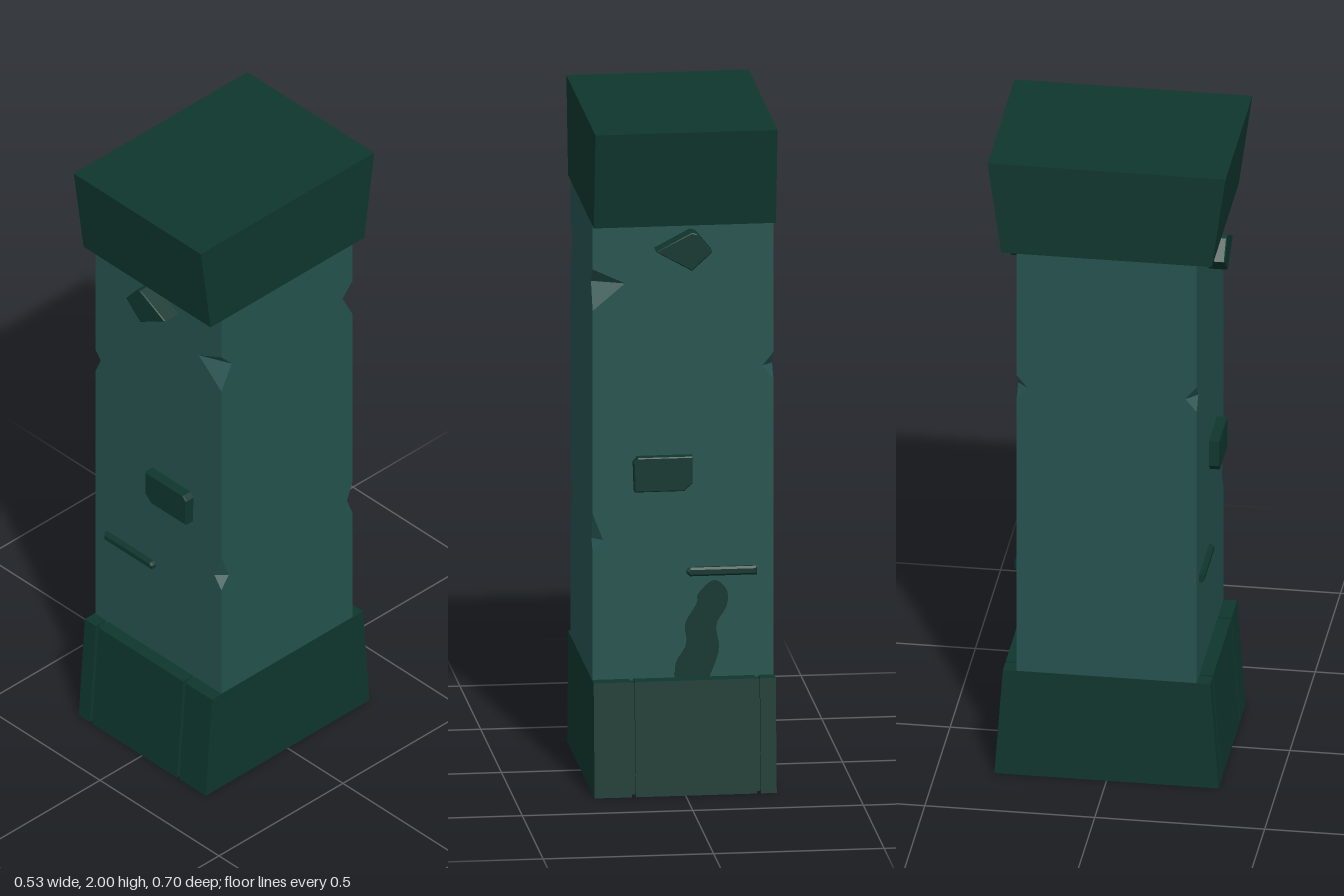
import * as THREE from 'three';

const H = 0.265; // half width of the shaft

export function createModel() {
  const group = new THREE.Group();
  const stone = new THREE.MeshStandardMaterial({ color: 0x25524e, side: THREE.DoubleSide });
  stone.name = 'teal stone';
  const dark = new THREE.MeshStandardMaterial({ color: 0x0f362e });
  dark.name = 'dark green stone';

  const add = (name, geometry, material) => {
    const mesh = new THREE.Mesh(geometry, material);
    mesh.name = name;
    group.add(mesh);
    return mesh;
  };
  const outline = (pts) => new THREE.Shape(pts.map(([x, y]) => new THREE.Vector2(x, y)));

  // Block whose front and back lean: half depth zBottom below, zTop above
  const leaningBlock = (name, x0, x1, y0, y1, zBottom, zTop) => {
    const g = new THREE.BoxGeometry(x1 - x0, y1 - y0, 2);
    g.translate((x0 + x1) / 2, (y0 + y1) / 2, 0);
    const p = g.attributes.position;
    for (let i = 0; i < p.count; i++) {
      p.setZ(i, Math.sign(p.getZ(i)) * (p.getY(i) > (y0 + y1) / 2 ? zTop : zBottom));
    }
    g.computeVertexNormals();
    return add(name, g, dark);
  };

  // Capital and base; the base is split by two narrow grooves
  leaningBlock('capital', -0.267, 0.267, 1.71, 2, 0.31, 0.35);
  leaningBlock('baseCore', -0.26, 0.26, 0.005, 0.335, 0.318, 0.293);
  [[-0.267, -0.221], [-0.209, 0.146], [0.158, 0.267]].forEach(([a, b], i) =>
    leaningBlock('baseBlock' + (i + 1), a, b, 0, 0.34, 0.33, 0.305));

  // Corner notches: side of x, bottom, tip and top heights, depth in x and in z
  const notches = [
    { side: 1, y0: 0.72, y: 0.76, y1: 0.84, dx: 0.03, dz: 0.03 },
    { side: 1, y0: 1.45, y: 1.53, y1: 1.575, dx: 0.095, dz: 0.042 },
    { side: -1, y0: 1.23, y: 1.27, y1: 1.31, dx: 0.033, dz: 0.033 },
  ];
  const edge = (list, sign, depth) => [
    [sign * H, 0.33],
    ...list.flatMap((n) => [[sign * H, n.y0], [sign * (H - n[depth]), n.y], [sign * H, n.y1]]),
    [sign * H, 1.715],
  ];
  const onSide = (s) => notches.filter((n) => n.side === s);

  // Shaft faces, with the notches cut from their outlines
  const broad = outline([...edge(onSide(1), 1, 'dx'), ...edge(onSide(-1), -1, 'dx').reverse()]);
  for (const s of [1, -1]) {
    const face = add(s > 0 ? 'shaftFront' : 'shaftBack', new THREE.ShapeGeometry(broad), stone);
    face.position.z = s * H;
    if (s < 0) face.geometry.scale(-1, 1, 1).rotateY(Math.PI);
    const flank = outline([...edge(onSide(s), 1, 'dz'), ...edge(onSide(s), -1, 'dz').reverse()]);
    const sideFace = add(s > 0 ? 'shaftLeft' : 'shaftRight', new THREE.ShapeGeometry(flank), stone);
    sideFace.geometry.rotateY(s * Math.PI / 2);
    sideFace.position.x = s * H;
  }

  // Sloping surfaces inside each notch
  const cuts = [];
  for (const n of notches) {
    for (const s of [1, -1]) {
      const tip = [n.side * (H - n.dx), n.y, s * H];
      const flank = [n.side * H, n.y, s * (H - n.dz)];
      const top = [n.side * H, n.y1, s * H];
      const bottom = [n.side * H, n.y0, s * H];
      const tris = n.side * s > 0
        ? [tip, flank, top, flank, tip, bottom]
        : [flank, tip, top, tip, flank, bottom];
      cuts.push(...tris.flat());
    }
  }
  const cutGeometry = new THREE.BufferGeometry();
  cutGeometry.setAttribute('position', new THREE.Float32BufferAttribute(cuts, 3));
  cutGeometry.computeVertexNormals();
  add('cornerNotches', cutGeometry, stone);

  // Raised stones, repeated on the front and the back
  const raised = [
    ['diamondStone', 0.055, 0.003,
      [[-0.08, 1.63], [-0.02, 1.575], [0.085, 1.635], [-0.02, 1.69], [-0.035, 1.685]]],
    ['squareStone', 0.03, 0.003,
      [[-0.025, 0.93], [0, 0.907], [0.145, 0.907], [0.148, 0.995], [0.135, 1.01], [-0.025, 1.01]]],
    ['narrowStone', 0.015, 0.006,
      [[-0.216, 0.645], [-0.02, 0.645], [-0.01, 0.653], [-0.01, 0.663], [-0.02, 0.671], [-0.216, 0.671]]],
  ];
  for (const [name, depth, bevel, pts] of raised) {
    for (const s of [1, -1]) {
      const shape = outline(pts.map(([x, y]) => [s * x, y]));
      const g = new THREE.ExtrudeGeometry(shape, {
        depth: depth - bevel, bevelEnabled: true, bevelThickness: bevel,
        bevelSize: bevel, bevelOffset: -bevel, bevelSegments: 1,
      });
      g.translate(0, 0, H);
      if (s < 0) g.rotateY(Math.PI);
      add(name + (s > 0 ? 'Front' : 'Back'), g, dark);
    }
  }

  // Dark stain low on the back
  const stain = new THREE.Shape();
  stain.moveTo(0.075, 0.335);
  stain.splineThru([[0.105, 0.42], [0.097, 0.495], [0.127, 0.55], [0.128, 0.6], [0.09, 0.63],
    [0.045, 0.59], [0.04, 0.56], [0.006, 0.5], [0.01, 0.44], [-0.02, 0.387], [-0.025, 0.335]]
    .map(([x, y]) => new THREE.Vector2(x, y)));
  const stainGeometry = new THREE.ExtrudeGeometry(stain, { depth: 0.003, bevelEnabled: false, curveSegments: 3 });
  stainGeometry.translate(0, 0, H).rotateY(Math.PI);
  add('backStain', stainGeometry, dark);

  return group;
}
